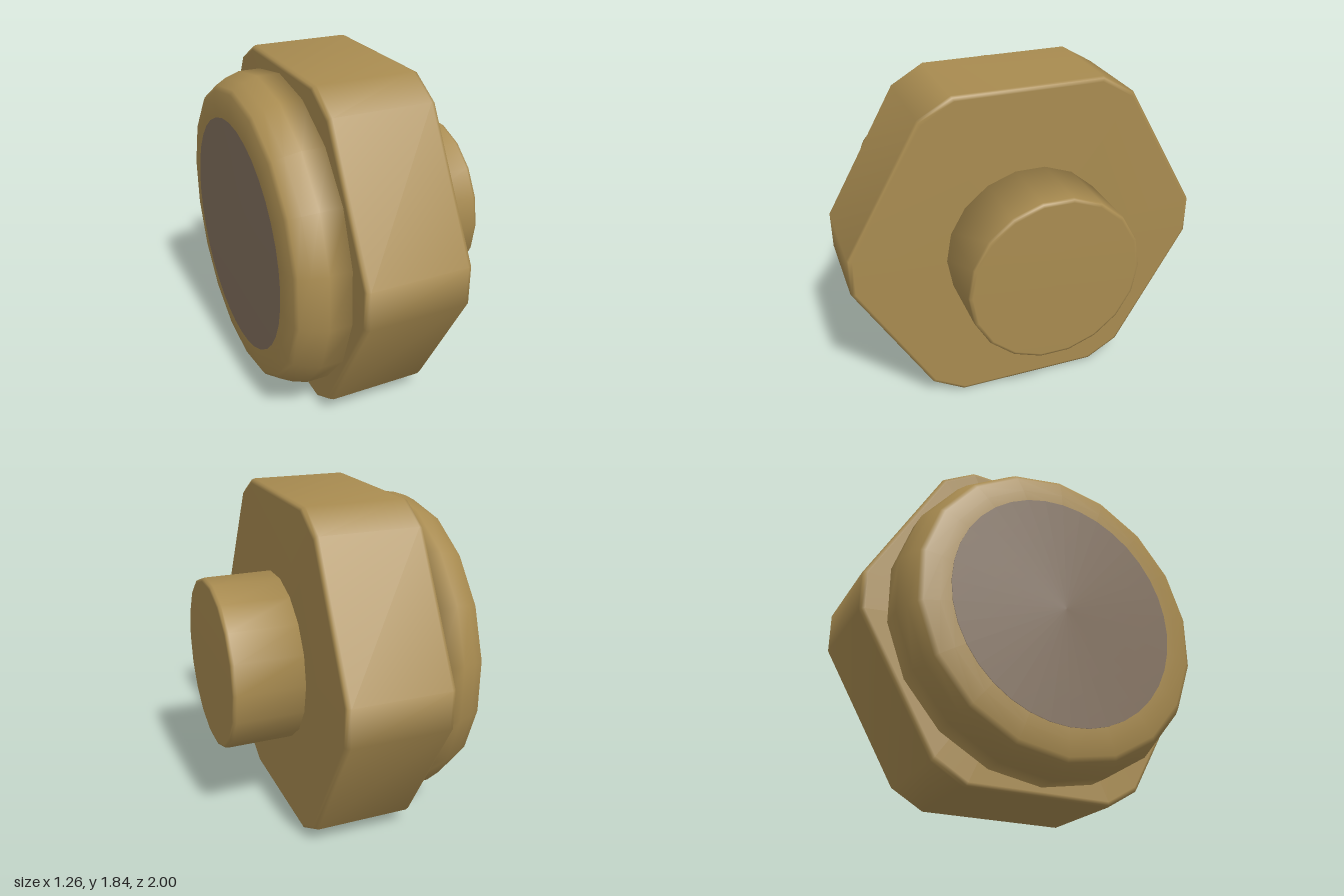
import * as THREE from 'three';

const MID_Y = 0.92;

// Regular outline in the (y, z) plane, unit radius
function ringOutline(sides, start = 0) {
  return Array.from({ length: sides }, (_, i) => {
    const a = start + (i / sides) * Math.PI * 2;
    return [Math.cos(a), Math.sin(a)];
  });
}

// Closed solid along x: each section is [x, scale of outline]
function loft(outline, sections) {
  const n = outline.length, pos = [], idx = [];
  for (const [x, s] of sections) for (const [y, z] of outline) pos.push(x, y * s, z * s);
  const last = (sections.length - 1) * n;
  const c0 = sections.length * n, c1 = c0 + 1;
  pos.push(sections[0][0], 0, 0, sections[sections.length - 1][0], 0, 0);
  for (let j = 0; j < n; j++) {
    const k = (j + 1) % n;
    for (let o = 0; o < last; o += n) {
      idx.push(o + j, o + k, o + n + j, o + k, o + n + k, o + n + j);
    }
    idx.push(c0, k, j, c1, last + j, last + k);
  }
  const g = new THREE.BufferGeometry();
  g.setAttribute('position', new THREE.Float32BufferAttribute(pos, 3));
  g.setIndex(idx);
  g.computeVertexNormals();
  return g;
}

export function createModel() {
  const brass = new THREE.MeshStandardMaterial({ color: 0xa88b50 });
  brass.name = 'brass';
  const dark = new THREE.MeshStandardMaterial({ color: 0x82705e });
  dark.name = 'dull face';

  const group = new THREE.Group();
  group.name = 'hexFitting';
  const add = (name, geometry, material) => {
    const mesh = new THREE.Mesh(geometry, material);
    mesh.name = name;
    mesh.position.y = MID_Y;
    group.add(mesh);
  };

  // Hexagonal nut with clipped corners and softened rims
  const quarter = [[0.92, 0.41], [0.815, 0.59], [0.105, 1]];
  const back = quarter.map(([y, z]) => [-y, z]).reverse();
  const half = [...quarter, ...back];
  const hex = [...half, ...half.map(([y, z]) => [-y, -z])];
  add('hexNut', loft(hex, [
    [-0.34, 0.975], [-0.333, 0.993], [-0.315, 1],
    [0.215, 1], [0.233, 0.993], [0.24, 0.975],
  ]), brass);

  // Rounded head
  add('roundedHead', loft(ringOutline(18), [
    [-0.625, 0.64], [-0.622, 0.71], [-0.61, 0.79], [-0.595, 0.815],
    [-0.54, 0.845], [-0.46, 0.872], [-0.32, 0.872],
  ]), brass);

  // Thin plate on the head
  add('headFace', loft(ringOutline(36), [[-0.63, 0.645], [-0.624, 0.645]]), dark);

  // Short round stub
  add('stub', loft(ringOutline(18, Math.PI / 18), [
    [0.22, 0.475], [0.61, 0.475], [0.625, 0.47], [0.63, 0.455],
  ]), brass);

  return group;
}
